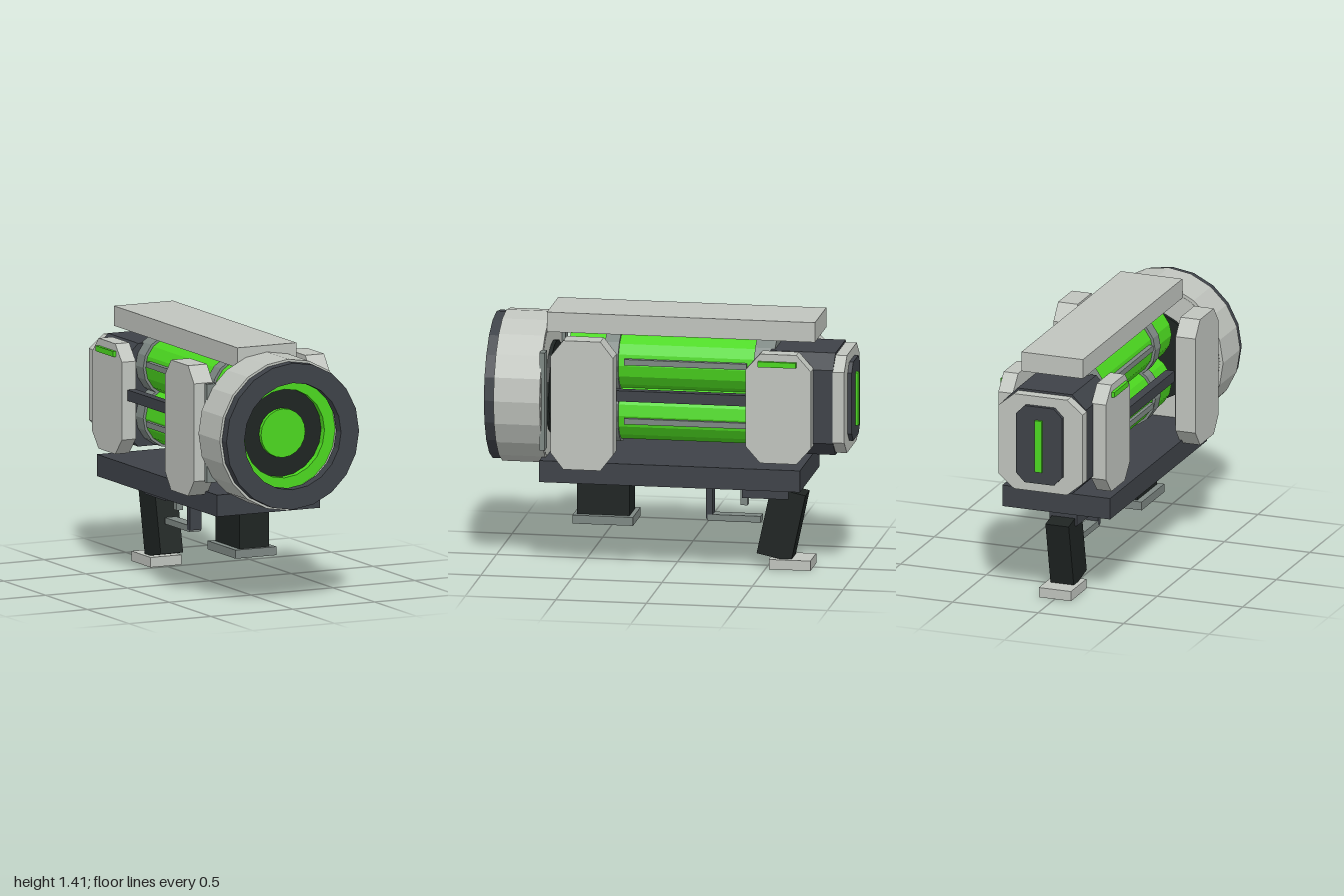
import * as THREE from 'three';

const paint = (color) => new THREE.MeshStandardMaterial({ color, flatShading: true });
const LIGHT = paint(0xc0c4be), MID = paint(0x7e8884), DARK = paint(0x3e4248),
  BLACK = paint(0x1e2422), GREEN = paint(0x4cd820);
const AXIS_Y = 0.955;

export function createModel() {
  const model = new THREE.Group();
  model.name = 'launcher';

  const add = (name, geometry, material, x = 0, y = 0, z = 0) => {
    const mesh = new THREE.Mesh(geometry, material);
    mesh.name = name;
    mesh.position.set(x, y, z);
    model.add(mesh);
    return mesh;
  };

  // Box from its limits on each axis
  const box = (name, material, [x0, x1], [y0, y1], [z0, z1]) =>
    add(name, new THREE.BoxGeometry(x1 - x0, y1 - y0, z1 - z0), material,
      (x0 + x1) / 2, (y0 + y1) / 2, (z0 + z1) / 2);

  // Plate with cut corners, centred, with its thickness along z
  const cutPlate = (w, h, cx, cy, depth) => {
    const a = w / 2, b = h / 2;
    const shape = new THREE.Shape([
      [a, b - cy], [a - cx, b], [cx - a, b], [-a, b - cy],
      [-a, cy - b], [cx - a, -b], [a - cx, -b], [a, cy - b],
    ].map(([x, y]) => new THREE.Vector2(x, y)));
    return new THREE.ExtrudeGeometry(shape, { depth, bevelEnabled: false })
      .translate(0, 0, -depth / 2);
  };

  // Ring around the z axis with a square section
  const ring = (name, material, inner, outer, z0, z1, y = AXIS_Y, sides = 20) => {
    const profile = [[inner, z0], [outer, z0], [outer, z1], [inner, z1], [inner, z0]]
      .map(([r, z]) => new THREE.Vector2(r, z));
    return add(name, new THREE.LatheGeometry(profile, sides).rotateX(Math.PI / 2), material, 0, y, 0);
  };

  // Solid cylinder along the z axis
  const rod = (name, material, r, z0, z1, y = AXIS_Y, sides = 20) =>
    add(name, new THREE.CylinderGeometry(r, r, z1 - z0, sides).rotateX(Math.PI / 2),
      material, 0, y, (z0 + z1) / 2);

  // Muzzle
  ring('muzzleShroud', LIGHT, 0.31, 0.418, 0.69, 0.945);
  ring('muzzleRim', DARK, 0.295, 0.405, 0.94, 1.0);
  ring('muzzleGlowRing', GREEN, 0.245, 0.312, 0.85, 0.9);
  rod('muzzleCore', BLACK, 0.255, 0.668, 0.86);
  rod('muzzleLens', GREEN, 0.135, 0.85, 0.885);
  ring('muzzleBackPlate', LIGHT, 0.25, 0.4, 0.688, 0.72);

  // Top cover and base rail
  box('topCover', LIGHT, [-0.18, 0.18], [1.3, 1.41], [-0.79, 0.69]);
  box('baseRail', DARK, [-0.315, 0.315], [0.49, 0.61], [-0.73, 0.71]);

  // Two stacked energy tubes with collars
  for (const y of [1.12, 0.84]) {
    rod('energyTube', GREEN, 0.16, -0.5, 0.58, y, 16);
    rod('rearCollar', MID, 0.175, -0.56, -0.45, y, 16);
    rod('frontCollar', MID, 0.175, 0.3, 0.38, y, 16);
  }

  // Rear housing and end cap
  add('rearHousing', cutPlate(0.48, 0.57, 0.08, 0.08, 0.36), DARK, 0, AXIS_Y, -0.72);
  add('rearCap', cutPlate(0.49, 0.545, 0.09, 0.075, 0.065), LIGHT, 0, AXIS_Y, -0.93);
  add('rearPanel', cutPlate(0.27, 0.44, 0.05, 0.05, 0.03), DARK, 0, AXIS_Y, -0.97);
  box('rearLight', GREEN, [-0.02, 0.02], [0.805, 1.1], [-1, -0.98]);

  // Mirrored side parts
  for (const s of [-1, 1]) {
    const side = (a, b) => (s > 0 ? [a, b] : [-b, -a]);
    add('frontSidePad', cutPlate(0.345, 0.72, 0.07, 0.09, 0.115).rotateY(Math.PI / 2),
      LIGHT, s * 0.3575, 0.95, 0.4575);
    add('rearSidePad', cutPlate(0.36, 0.61, 0.08, 0.09, 0.085).rotateY(Math.PI / 2),
      LIGHT, s * 0.2725, 0.95, -0.61);
    box('padLight', GREEN, side(0.3, 0.333), [1.185, 1.215], [-0.71, -0.5]);
    box('padBracket', MID, side(0.275, 0.305), [0.69, 1.2], [0.34, 0.637]);
    box('muzzleBracket', MID, side(0.295, 0.37), [0.68, 1.225], [0.67, 0.7]);
    box('sideRail', DARK, side(0.23, 0.28), [0.95, 1.01], [-0.45, 0.32]);
    for (const y of [1.145, 0.815])
      box('tubeGuard', MID, side(0.15, 0.178), [y - 0.016, y + 0.016], [-0.41, 0.265]);
  }

  // Front grip
  box('frontGrip', BLACK, [-0.09, 0.09], [0.26, 0.5], [0.25, 0.54]);
  box('frontGripFoot', MID, [-0.125, 0.125], [0.22, 0.267], [0.225, 0.56]);

  // Trigger group
  box('triggerBlock', DARK, [-0.08, 0.08], [0.39, 0.495], [-0.625, -0.37]);
  box('triggerGuardPost', DARK, [-0.035, 0.035], [0.255, 0.495], [-0.2, -0.162]);
  box('triggerGuardBar', MID, [-0.035, 0.035], [0.245, 0.28], [-0.465, -0.17]);
  box('trigger', MID, [-0.02, 0.02], [0.335, 0.45], [-0.39, -0.352]);

  // Raked rear grip
  const grip = add('rearGrip', new THREE.BoxGeometry(0.136, 0.38, 0.195), BLACK, 0, 0.247, -0.583);
  grip.rotation.x = -0.21;
  box('rearGripFoot', LIGHT, [-0.094, 0.094], [0, 0.055], [-0.75, -0.52]);

  return model;
}
